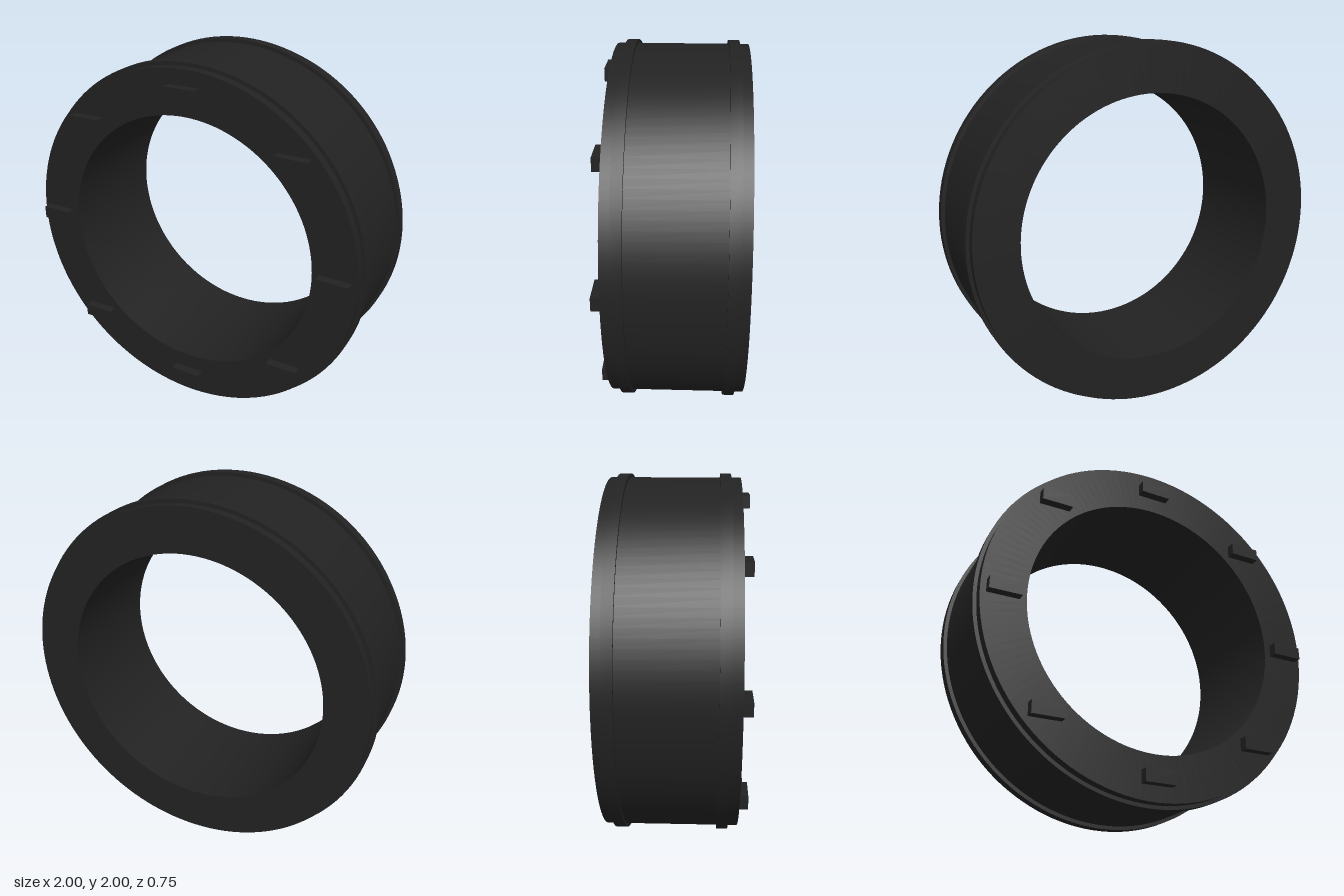
import * as THREE from 'three';
import { toCreasedNormals } from 'three/addons/utils/BufferGeometryUtils.js';

const material = new THREE.MeshStandardMaterial({ color: 0x222222 });

// Square-edged ring around the z axis, between two radii and two depths
function ring(name, inner, outer, back, front) {
  const profile = [
    [inner, back], [outer, back], [outer, front], [inner, front], [inner, back],
  ].map(([r, z]) => new THREE.Vector2(r, z));
  const geometry = toCreasedNormals(new THREE.LatheGeometry(profile, 128), 0.5);
  geometry.rotateX(Math.PI / 2);
  const mesh = new THREE.Mesh(geometry, material);
  mesh.name = name;
  mesh.position.y = 1;
  return mesh;
}

export function createModel() {
  const model = new THREE.Group();
  model.name = 'ringHousing';

  // Thick ring body with two raised bands on the outside
  model.add(ring('body', 0.735, 0.98, -0.378, 0.328));
  model.add(ring('frontBand', 0.96, 1, 0.218, 0.275));
  model.add(ring('backBand', 0.96, 1, -0.328, -0.27));

  // Eight upright lugs on the front face, all kept level
  const lugs = new THREE.Group();
  lugs.name = 'frontLugs';
  const lugGeometry = new THREE.BoxGeometry(0.175, 0.07, 0.06);
  for (let i = 0; i < 8; i++) {
    const angle = (i * Math.PI) / 4;
    const lug = new THREE.Mesh(lugGeometry, material);
    lug.name = 'lug';
    lug.position.set(0.86 * Math.cos(angle), 1 + 0.86 * Math.sin(angle), 0.347);
    lugs.add(lug);
  }
  model.add(lugs);
  return model;
}
